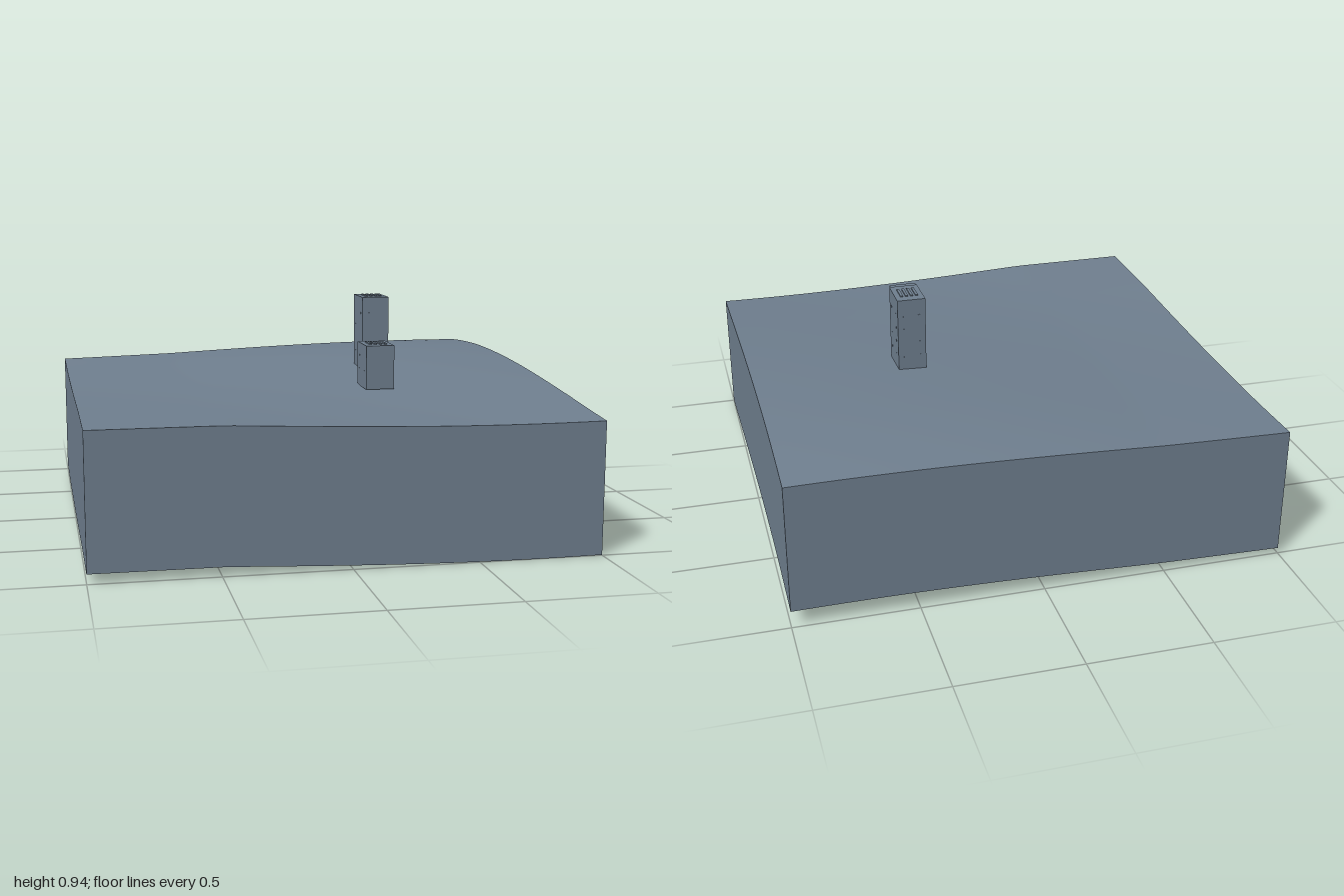
import * as THREE from 'three';

const DEPTH = 0.534;

// Gentle rolling height of the ground at (x, z)
function height(x, z) {
  let f = Math.sin(1.277 * (x + 0.48));
  if (f < 0) f *= 0.6;
  let g = z < -0.5 ? Math.cos(1.9 * (z + 0.5)) : Math.sin(1.43 * (0.6 - z));
  if (g < 0) g *= 1.1;
  const flat = f < 0 && g < 0 ? 0.1 : 1; // the front corner stays almost level
  return 0.572 + 0.063 * f * g * flat;
}

// Lifts each vertex by the ground height below it
function drape(geo) {
  const p = geo.attributes.position;
  for (let i = 0; i < p.count; i++) {
    p.setY(i, p.getY(i) + height(p.getX(i), p.getZ(i)));
  }
  geo.computeVertexNormals();
  return geo;
}

export function createModel() {
  const model = new THREE.Group();
  model.name = 'terrainBlock';
  const slate = new THREE.MeshStandardMaterial({ color: 0x708090, side: THREE.DoubleSide });
  slate.name = 'slate grey';

  const add = (parent, name, geo, x = 0, y = 0, z = 0) => {
    const mesh = new THREE.Mesh(geo, slate);
    mesh.name = name;
    mesh.position.set(x, y, z);
    parent.add(mesh);
    return mesh;
  };

  // Ground surface
  add(model, 'ground', drape(new THREE.PlaneGeometry(2, 2, 40, 40).rotateX(-Math.PI / 2)));

  // Four side walls, open underneath
  ['frontWall', 'leftWall', 'backWall', 'rightWall'].forEach((name, i) => {
    const wall = new THREE.PlaneGeometry(2, DEPTH, 40, 1)
      .translate(0, -DEPTH / 2, 1)
      .rotateY(i * Math.PI / 2);
    add(model, name, drape(wall));
  });

  // Towers with roof slats and small window plates
  const W = 0.118, D = 0.16;
  function tower(name, x, z, bottom, top) {
    const g = new THREE.Group();
    g.name = name;
    g.position.set(x, 0, z);
    const h = top - bottom;
    add(g, 'towerBody', new THREE.BoxGeometry(W, h, D), 0, bottom + h / 2, 0);
    for (let i = 0; i < 4; i++) {
      add(g, 'roofSlat', new THREE.BoxGeometry(0.011, 0.005, 0.08), (i - 1.5) * 0.021, top + 0.0025, 0);
    }
    for (let y = bottom + 0.07; y < top - 0.02; y += 0.06) {
      for (const s of [-1, 1]) {
        for (const c of [-1, 1]) {
          add(g, 'window', new THREE.BoxGeometry(0.008, 0.008, 0.002), c * W * 0.27, y, s * D / 2);
          add(g, 'window', new THREE.BoxGeometry(0.002, 0.008, 0.008), s * W / 2, y, c * D * 0.27);
        }
      }
    }
    model.add(g);
  }
  tower('tallTower', 0.331, -0.083, 0.61, 0.932);
  tower('shortTower', 0.248, 0.333, 0.59, 0.772);

  return model;
}
